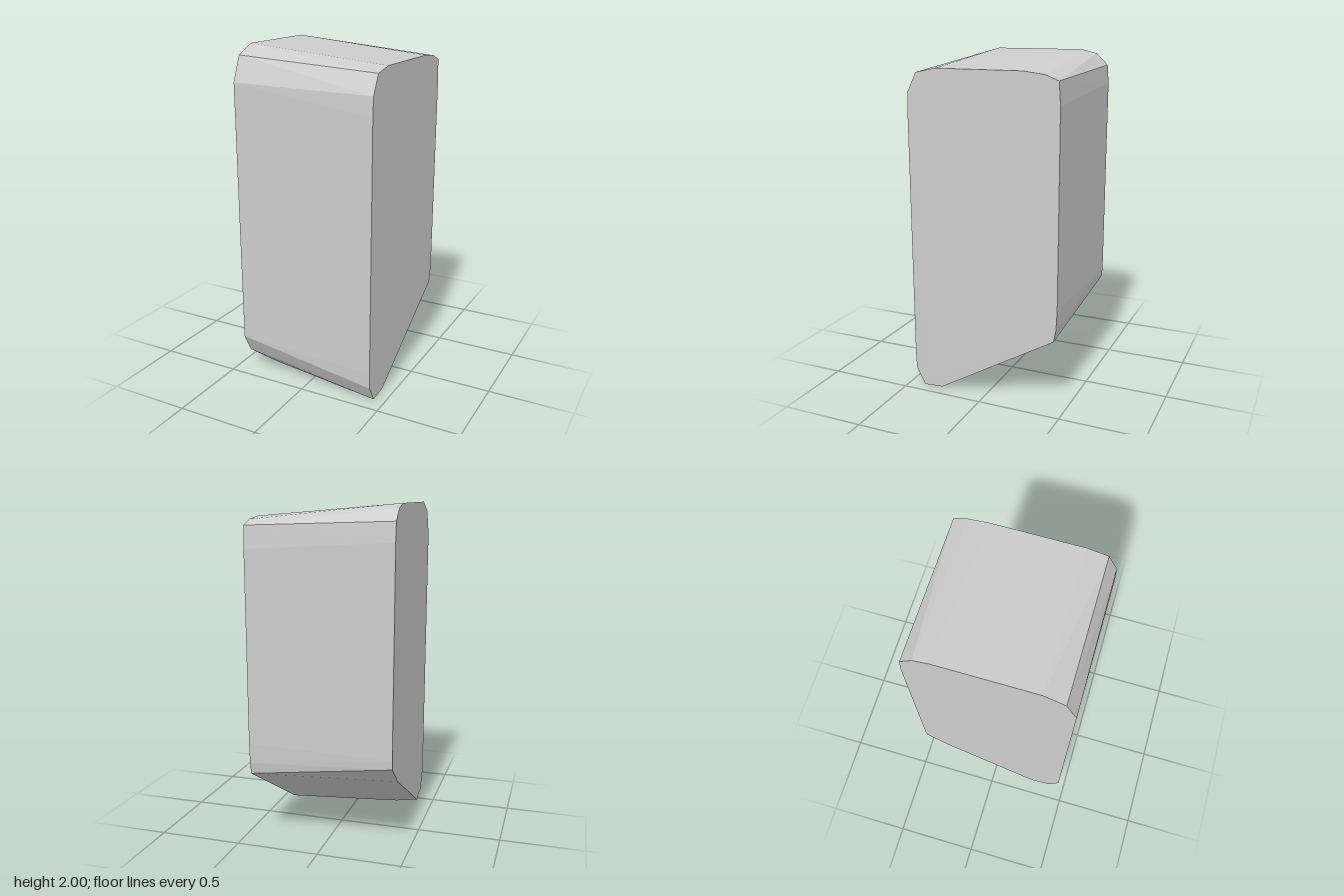
import * as THREE from 'three';
import { ConvexGeometry } from 'three/addons/geometries/ConvexGeometry.js';

// End profiles as [z, y], going round from the front edge over the top
const tallEnd = [
  [0.46, 0.23], [0.46, 1.8], [0.4, 1.945], [0.28, 2], [-0.28, 2], [-0.375, 1.978],
  [-0.447, 1.91], [-0.456, 1.8], [-0.456, 0.6], [-0.452, 0.55], [-0.31, 0.428],
  [0.28, 0.082], [0.4, 0.112],
];
const lowEnd = [
  [0.46, 0.2], [0.46, 1.68], [0.455, 1.79], [0.4, 1.9], [0.28, 1.925], [-0.245, 1.925],
  [-0.37, 1.91], [-0.447, 1.88], [-0.456, 1.75], [-0.456, 0.62], [-0.45, 0.5],
  [-0.437, 0.43], [0.28, 0.008], [0.4, 0], [0.455, 0.1],
];

export function createModel() {
  const stone = new THREE.MeshStandardMaterial({ color: 0xcccccc });
  stone.name = 'light grey';

  const section = (profile, x) => profile.map(([z, y]) => new THREE.Vector3(x, y, z));
  const points = [
    ...section(tallEnd, -0.43),
    // Bevelled lower corner beside the tall end
    ...section([[0.336, 0.034]], -0.28),
    ...section(lowEnd, 0.43),
  ];

  // Faceted block stretched over both ends
  const block = new THREE.Mesh(new ConvexGeometry(points), stone);
  block.name = 'bevelledBlock';

  const model = new THREE.Group();
  model.name = 'block';
  model.add(block);
  return model;
}
